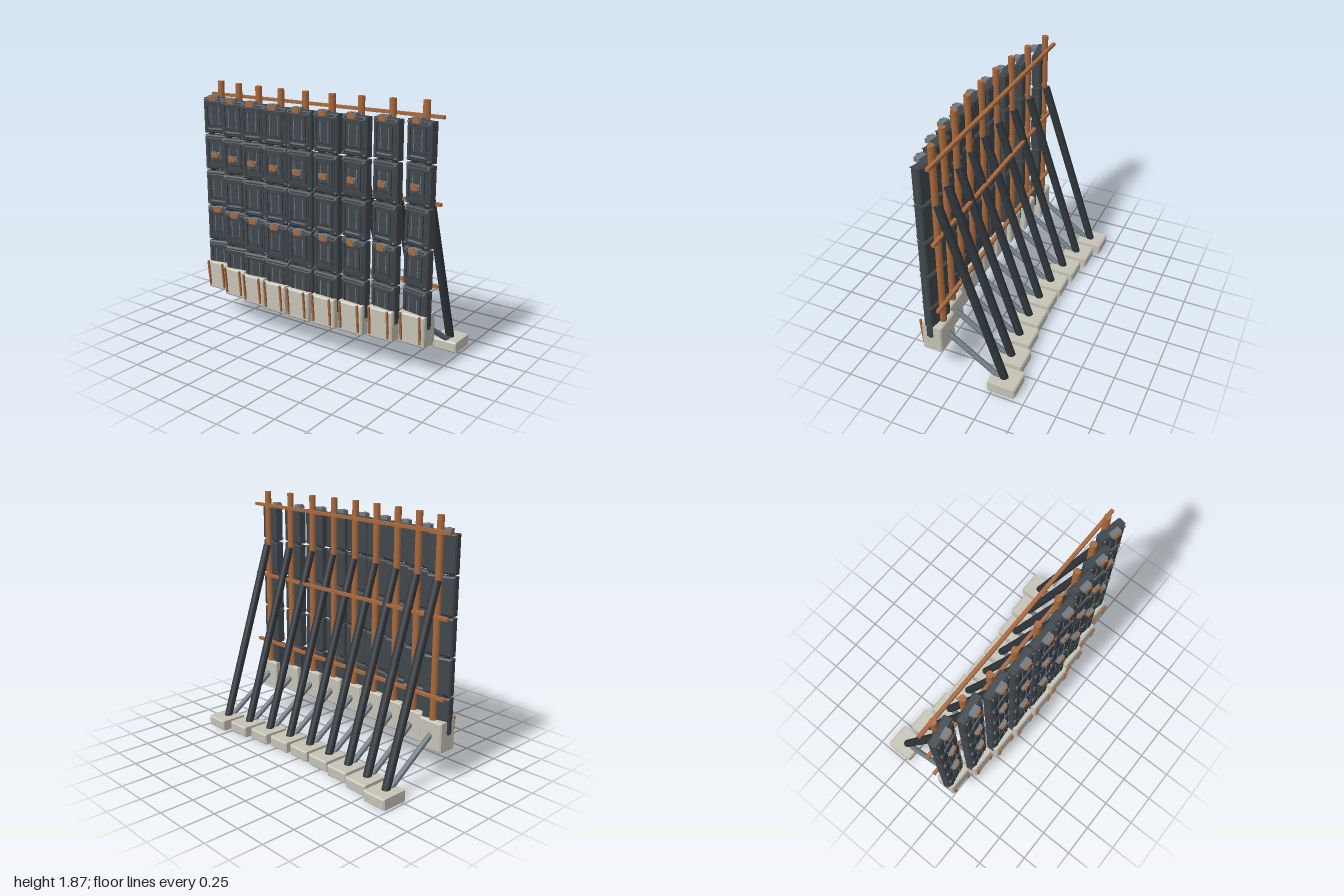
import * as THREE from 'three';

const mat = (name, hex) => {
  const m = new THREE.MeshStandardMaterial({ color: hex });
  m.name = name;
  return m;
};

// Box with chamfered edges, centred on the origin
function chamferBox(w, h, d, b) {
  const x = w / 2 - b, y = h / 2 - b;
  const s = new THREE.Shape();
  s.moveTo(-x, -y);
  s.lineTo(x, -y);
  s.lineTo(x, y);
  s.lineTo(-x, y);
  s.closePath();
  const g = new THREE.ExtrudeGeometry(s, {
    depth: d - 2 * b, bevelEnabled: true, bevelThickness: b, bevelSize: b, bevelSegments: 1,
  });
  return g.translate(0, 0, -(d - 2 * b) / 2);
}

export function createModel() {
  const graphite = mat('graphite panel', 0x40464b);
  const dark = mat('dark iron', 0x30363b);
  const steel = mat('steel', 0x6f7a82);
  const concrete = mat('concrete', 0xc6c3b6);
  const copper = mat('copper', 0xa9693c);

  const add = (parent, name, geo, m, x = 0, y = 0, z = 0) => {
    const mesh = new THREE.Mesh(geo, m);
    mesh.name = name;
    mesh.position.set(x, y, z);
    parent.add(mesh);
    return mesh;
  };
  const box = (w, h, d) => new THREE.BoxGeometry(w, h, d);

  // Round bar between two points of the yz plane
  const bar = (parent, name, r, m, y0, z0, y1, z1) => {
    const a = new THREE.Vector3(0, y0, z0), b = new THREE.Vector3(0, y1, z1);
    const dir = b.clone().sub(a);
    const mesh = add(parent, name, new THREE.CylinderGeometry(r, r, dir.length(), 12), m);
    mesh.position.copy(a).add(b).multiplyScalar(0.5);
    mesh.quaternion.setFromUnitVectors(new THREE.Vector3(0, 1, 0), dir.normalize());
  };

  // Shared geometries
  const panelGeo = chamferBox(0.21, 0.268, 0.07, 0.01);
  const plateGeo = chamferBox(0.17, 0.225, 0.012, 0.004);
  const blockGeo = chamferBox(0.2, 0.22, 0.155, 0.01);
  const footGeo = chamferBox(0.19, 0.082, 0.215, 0.01);
  const boltGeo = new THREE.CylinderGeometry(0.007, 0.007, 0.012, 6).rotateX(Math.PI / 2);

  // One wall panel with its raised plate, ribs, bolts and clip
  function makePanel(row) {
    const p = new THREE.Group();
    p.name = 'panel';
    add(p, 'panelBody', panelGeo, graphite);
    add(p, 'panelPlate', plateGeo, graphite, 0, 0, 0.035);
    const tall = row % 2 === 0;
    for (const s of [-1, 1]) {
      add(p, 'panelRib', box(0.007, 0.18, 0.006), dark, s * 0.066, 0.005, 0.042);
      add(p, 'panelInnerRib', box(0.005, tall ? 0.14 : 0.12, 0.006), steel, s * 0.034, 0.005, 0.042);
      for (const t of [-1, 1]) add(p, 'panelBolt', boltGeo, steel, s * 0.09, t * 0.119, 0.037);
      add(p, 'panelConnector', box(0.03, 0.03, 0.03), dark, s * 0.06, -0.138, 0);
    }
    if (tall) {
      add(p, 'panelSill', box(0.12, 0.01, 0.008), steel, 0, -0.098, 0.042);
      add(p, 'panelCrossRib', box(0.11, 0.005, 0.006), dark, 0, -0.075, 0.042);
    } else {
      add(p, 'panelCrossRib', box(0.07, 0.005, 0.006), dark, 0, -0.065, 0.042);
    }
    // Clips on the first, second and fourth rows
    const clipY = { 0: 0.138, 1: -0.012, 3: 0.118 }[row];
    if (clipY !== undefined) {
      add(p, 'clipBracket', box(0.075, 0.03, 0.045), steel, 0, clipY + 0.004, 0.04);
      add(p, 'clip', box(0.056, 0.03, 0.022), copper, 0, clipY - 0.004, 0.06);
      add(p, 'clipTab', box(0.022, 0.03, 0.014), copper, 0, clipY + 0.008, 0.06);
    }
    return p;
  }

  const root = new THREE.Group();
  root.name = 'bracedWall';

  // Nine columns set along a shallow curve
  for (let i = 0; i < 9; i++) {
    const t = (i - 4) / 4;
    const col = new THREE.Group();
    col.name = 'column';
    col.position.set(0.885 * t, 0, -0.107 * t * t);
    root.add(col);

    for (let row = 0; row < 5; row++) {
      const p = makePanel(row);
      p.position.set(0, 1.615 - row * 0.2825, 0.312);
      p.rotation.y = -0.2 * t;
      col.add(p);
    }

    add(col, 'post', new THREE.CylinderGeometry(0.025, 0.025, 1.53, 10), copper, 0, 1.105, 0.266);

    // Footing block with two leaning straps
    add(col, 'footingBlock', blockGeo, concrete, 0, 0.342, 0.31);
    for (const s of [-1, 1]) {
      const strap = add(col, 'footingStrap', box(0.013, 0.205, 0.014), copper, s * 0.073, 0.358, 0.399);
      strap.rotation.x = 0.09;
    }

    // Rear foot, long strut and short brace
    add(col, 'rearFoot', footGeo, concrete, 0, 0.041, -0.212);
    bar(col, 'longStrut', 0.031, dark, 1.44, 0.25, 0.06, -0.205);
    bar(col, 'shortBrace', 0.021, steel, 0.35, 0.25, 0.07, -0.16);
  }

  // Three rails across the back
  for (const y of [1.765, 1.195, 0.63]) add(root, 'rail', box(2, 0.022, 0.026), copper, 0, y, 0.13);

  return root;
}
